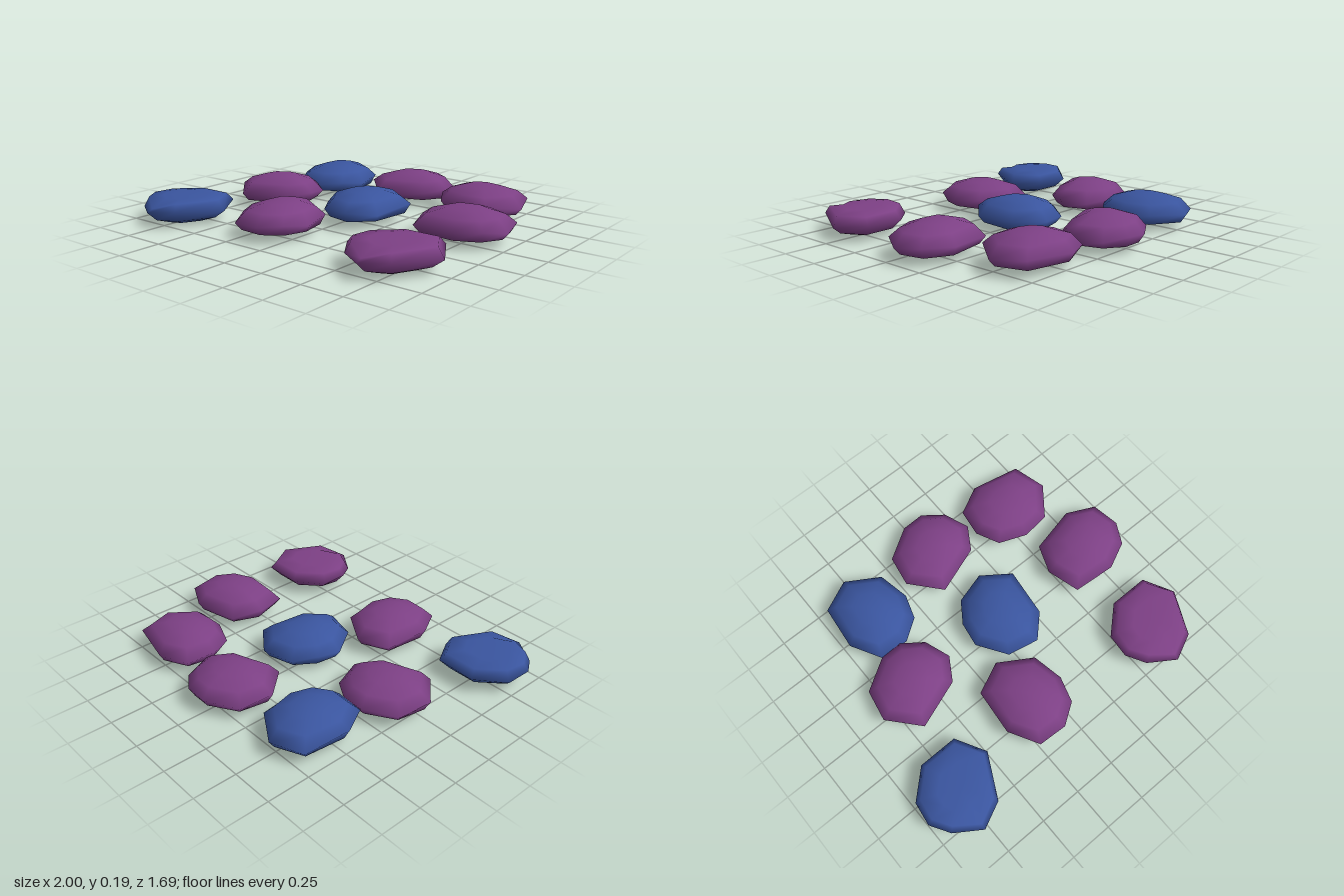
import * as THREE from 'three';

const purple = new THREE.MeshStandardMaterial({ color: 0x7d4085 });
const blue = new THREE.MeshStandardMaterial({ color: 0x3a559f });

// Section of a stone from bottom to top: [outline scale, height]
const domeUp = [[0, 0.035], [0.5, 0.035], [0.87, 0.045], [1, 0.095], [0.77, 0.15], [0.4, 0.18], [0, 0.185]];
const domeDown = domeUp.map(([s, y]) => [s, 0.185 - y]).reverse();

// Plan outlines [x, z], each used by the stones at the listed offsets
const stones = [
  {
    name: 'slantedStone', section: domeUp,
    outline: [[-0.51, -0.8], [-0.32, -0.68], [-0.28, -0.5], [-0.33, -0.35], [-0.45, -0.27], [-0.62, -0.28], [-0.72, -0.45], [-0.69, -0.72]],
    copies: [[0, 0, blue], [0.37, 0.96, purple]],
  },
  {
    name: 'wideStone', section: domeUp,
    outline: [[-0.62, -0.28], [-0.49, -0.28], [-0.37, -0.2], [-0.32, -0.04], [-0.4, 0.09], [-0.68, 0.19], [-0.835, 0.02], [-0.8, -0.17]],
    copies: [[0, 0, purple], [0.6, -0.57, purple]],
  },
  {
    name: 'backRightStone', section: domeUp,
    outline: [[0.48, -0.79], [0.76, -0.73], [0.82, -0.54], [0.68, -0.36], [0.52, -0.345], [0.36, -0.41], [0.29, -0.54], [0.32, -0.71]],
    copies: [[0, 0, purple]],
  },
  {
    name: 'middleRightStone', section: domeUp,
    outline: [[0.8, -0.3], [0.96, -0.22], [0.995, -0.06], [0.92, 0.07], [0.77, 0.14], [0.52, 0.12], [0.46, -0.07], [0.53, -0.24]],
    copies: [[0, 0, purple]],
  },
  {
    name: 'centreStone', section: domeUp,
    outline: [[0.13, -0.32], [0.29, -0.2], [0.26, 0.08], [0.13, 0.21], [-0.05, 0.17], [-0.16, 0], [-0.14, -0.14], [-0.05, -0.27]],
    copies: [[0, 0, blue]],
  },
  {
    name: 'upturnedStone', section: domeDown, dent: 4,
    outline: [[-0.83, 0.35], [-0.6, 0.35], [-0.5, 0.52], [-0.63, 0.77], [-0.78, 0.84], [-0.93, 0.74], [-1, 0.63], [-0.98, 0.49]],
    copies: [[0, 0, blue], [1.455, -0.03, purple]],
  },
];

// Lofts scaled copies of an outline along the section, closed by a point at each end
function stoneGeometry({ outline, section, dent }) {
  const n = outline.length;
  const xs = outline.map((p) => p[0]), zs = outline.map((p) => p[1]);
  const cx = (Math.min(...xs) + Math.max(...xs)) / 2;
  const cz = (Math.min(...zs) + Math.max(...zs)) / 2;
  const positions = [], index = [];
  section.forEach(([s, y], r) => {
    if (s === 0) return positions.push(cx, y, cz);
    outline.forEach(([x, z], i) => {
      // Slightly uneven rim, and a chipped hollow where asked for
      let h = y + (s === 1 ? 0.012 * Math.sin(i * 2.4) : 0);
      if (i === dent && r === 4) h -= 0.035;
      positions.push(cx + (x - cx) * s, h, cz + (z - cz) * s);
    });
  });
  const rings = section.length - 2, top = 1 + rings * n;
  for (let i = 0; i < n; i++) {
    const j = (i + 1) % n;
    index.push(0, 1 + i, 1 + j);
    for (let r = 0; r < rings - 1; r++) {
      const a = 1 + r * n + i, b = 1 + r * n + j;
      index.push(a, a + n, b, b, a + n, b + n);
    }
    index.push(top - n + i, top, top - n + j);
  }
  const geometry = new THREE.BufferGeometry();
  geometry.setAttribute('position', new THREE.Float32BufferAttribute(positions, 3));
  geometry.setIndex(index);
  geometry.computeVertexNormals();
  return geometry;
}

export function createModel() {
  const group = new THREE.Group();
  group.name = 'steppingStones';
  for (const stone of stones) {
    const geometry = stoneGeometry(stone);
    stone.copies.forEach(([x, z, material], k) => {
      const mesh = new THREE.Mesh(geometry, material);
      mesh.name = stone.copies.length > 1 ? `${stone.name}${k + 1}` : stone.name;
      mesh.position.set(x, 0, z);
      group.add(mesh);
    });
  }
  return group;
}
